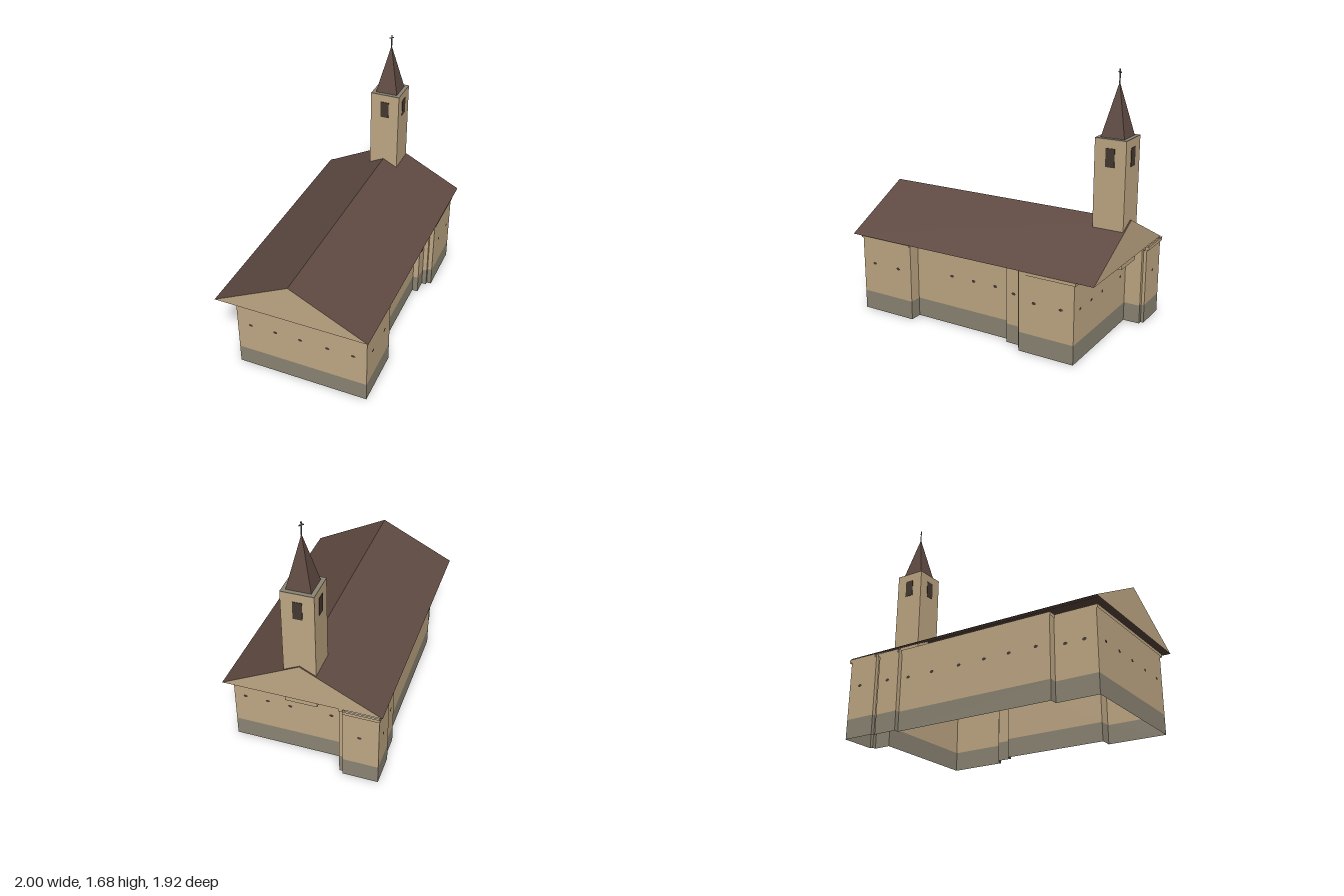
import * as THREE from 'three';

const flat = (name, color, extra = {}) => {
  const m = new THREE.MeshStandardMaterial({ color, flatShading: true, ...extra });
  m.name = name;
  return m;
};

// Non-indexed geometry from triangles given as [x, y, z] corners
function facets(points) {
  const g = new THREE.BufferGeometry();
  g.setAttribute('position', new THREE.Float32BufferAttribute(points.flat(), 3));
  g.computeVertexNormals();
  return g;
}
const quad = (a, b, c, d) => [a, b, c, a, c, d];

// Upright open band following a closed plan outline
function band(outline, y0, y1, s = 1) {
  const tris = [];
  outline.forEach(([x, z], i) => {
    const [x2, z2] = outline[(i + 1) % outline.length];
    tris.push(...quad([x * s, y0, z * s], [x2 * s, y0, z2 * s], [x2 * s, y1, z2 * s], [x * s, y1, z * s]));
  });
  return facets(tris);
}

export function createModel() {
  const open = { side: THREE.DoubleSide };
  const plaster = flat('plaster', 0xc2aa86, open);
  const stone = flat('stone', 0x8d8675, open);
  const tiles = flat('roofTiles', 0x5f4a42, open);
  const dark = flat('darkOpening', 0x463a33);
  const metal = flat('metal', 0x6b6664);

  const model = new THREE.Group();
  model.name = 'church';
  const church = new THREE.Group();
  church.name = 'building';
  church.rotation.y = 0.705; // the nave stands diagonally
  model.add(church);

  const add = (name, geo, mat, x = 0, y = 0, z = 0, parent = church) => {
    const m = new THREE.Mesh(geo, mat);
    m.name = name;
    m.position.set(x, y, z);
    parent.add(m);
    return m;
  };

  // Stepped plan of the walls, counter-clockwise from above
  const plan = [
    [-0.82, 0.478], [-0.435, 0.478], [-0.435, 0.397], [0.265, 0.397], [0.265, 0.435],
    [0.364, 0.435], [0.364, 0.466], [0.385, 0.466], [0.385, 0.496], [0.755, 0.496],
    [0.755, -0.235], [0.865, -0.235], [0.865, -0.262], [0.885, -0.262], [0.885, -0.49],
    [0.68, -0.49], [0.68, -0.465], [0.665, -0.465], [0.665, -0.475], [0.51, -0.475],
    [0.51, -0.445], [-0.55, -0.445], [-0.55, -0.394], [-0.82, -0.394],
  ];
  add('wallBase', band(plan, 0, 0.125), stone);
  add('walls', band(plan, 0.125, 0.525), plaster);
  add('cornice', band(plan, 0.503, 0.525, 1.013), plaster);

  // Gable roof and its two end triangles
  const L = 0.88, W = 0.507, E = 0.525, R = 0.78;
  for (const s of [1, -1]) {
    add(s > 0 ? 'frontRoofSlope' : 'backRoofSlope', facets(quad(
      [-s * L, E, s * W], [s * L, E, s * W], [s * L, R, 0], [-s * L, R, 0])), tiles);
    add(s > 0 ? 'towerGable' : 'farGable', facets([
      [s * L, E, s * W], [s * L, E, -s * W], [s * L, R, 0]]), plaster);
  }

  // Small round wall openings, one list per side
  const opening = (x, z, turn) => {
    const g = new THREE.CircleGeometry(0.012, 8);
    g.scale(1.2, 0.8, 1);
    add('wallOpening', g, dark, x, 0.335, z).rotation.y = turn;
  };
  const skin = 0.003;
  [[-0.73, 0.478], [-0.536, 0.478], [-0.165, 0.397], [0, 0.397], [0.16, 0.397],
    [0.315, 0.435], [0.49, 0.496], [0.67, 0.496]].forEach(([x, z]) => opening(x, z + skin, 0));
  [[0.8, 0.49], [0.59, 0.475], [0.45, 0.445], [0.27, 0.445], [0.07, 0.445], [-0.11, 0.445],
    [-0.28, 0.445], [-0.46, 0.445], [-0.62, 0.394], [-0.74, 0.394]]
    .forEach(([x, z]) => opening(x, -z - skin, Math.PI));
  [-0.3, -0.13, 0.04, 0.22, 0.39].forEach(z => opening(-0.82 - skin, z, -Math.PI / 2));
  [[0.755, 0.42], [0.755, 0.27], [0.755, 0.12], [0.755, -0.15], [0.885, -0.37]]
    .forEach(([x, z]) => opening(x + skin, z, Math.PI / 2));

  // Bell tower on the ridge
  const tower = new THREE.Group();
  tower.name = 'tower';
  tower.position.set(0.77, 0, 0);
  church.add(tower);
  const h = 0.101;
  add('towerShaft', new THREE.BoxGeometry(2 * h, 0.79, 2 * h), plaster, 0, 0.885, 0, tower);
  add('towerCap', new THREE.BoxGeometry(2 * h, 0.006, 2 * h), stone, 0, 1.283, 0, tower);
  for (let i = 0; i < 4; i++) {
    const a = i * Math.PI / 2;
    add('belfryWindow', new THREE.BoxGeometry(0.058, 0.115, 0.006), dark,
      Math.sin(a) * h, 1.173, Math.cos(a) * h, tower).rotation.y = a;
  }

  // Four-sided spire and cross
  add('spire', new THREE.ConeGeometry(0.076 * Math.SQRT2, 0.325, 4, 1, false, Math.PI / 4),
    tiles, 0, 1.4475, 0, tower);
  const cross = new THREE.Group();
  cross.name = 'cross';
  cross.rotation.y = -0.705;
  tower.add(cross);
  add('crossPost', new THREE.BoxGeometry(0.006, 0.085, 0.006), metal, 0, 1.6425, 0, cross);
  add('crossArm', new THREE.BoxGeometry(0.03, 0.006, 0.006), metal, 0, 1.665, 0, cross);

  return model;
}
